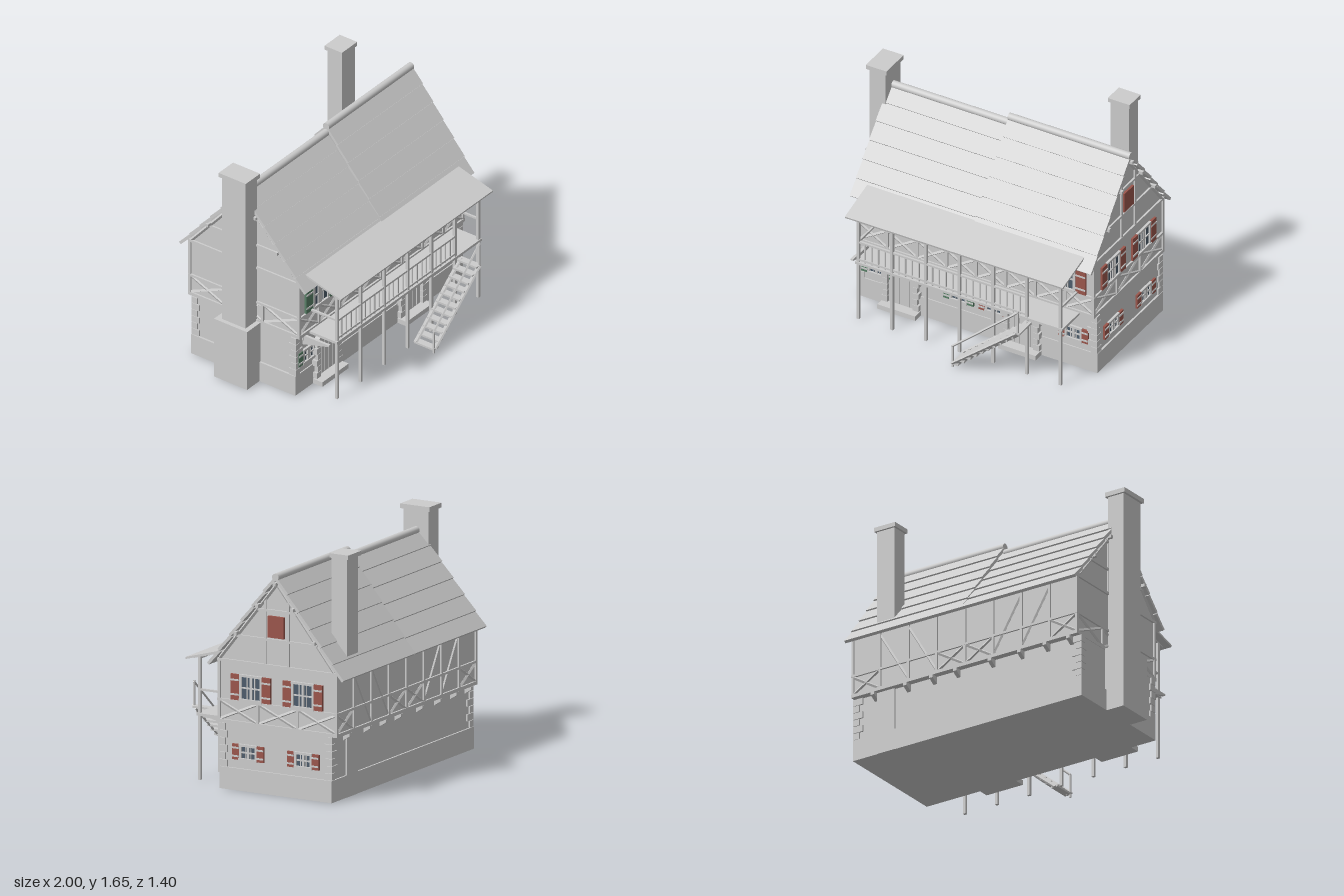
import * as THREE from 'three';

const mat = (name, color) => {
  const m = new THREE.MeshStandardMaterial({ color });
  m.name = name;
  return m;
};

export function createModel() {
  const stone = mat('pale grey', 0xcccccc);
  const red = mat('shutter red', 0x9b564c);
  const green = mat('shutter green', 0x587f66);
  const glass = mat('window glass', 0x4d5c6b);
  const house = new THREE.Group();
  house.name = 'timberFramedHouse';

  const group = (name, parent = house) => {
    const g = new THREE.Group();
    g.name = name;
    parent.add(g);
    return g;
  };
  const add = (parent, name, geo, m = stone) => {
    const mesh = new THREE.Mesh(geo, m);
    mesh.name = name;
    parent.add(mesh);
    return mesh;
  };
  // box given by its limits on each axis
  const box = (parent, name, x0, x1, y0, y1, z0, z1, m = stone) => {
    const b = add(parent, name, new THREE.BoxGeometry(x1 - x0, y1 - y0, z1 - z0), m);
    b.position.set((x0 + x1) / 2, (y0 + y1) / 2, (z0 + z1) / 2);
    return b;
  };
  // bar running between two points
  const bar = (parent, name, a, b, w, h, m = stone) => {
    const A = new THREE.Vector3(...a), B = new THREE.Vector3(...b);
    const mesh = add(parent, name, new THREE.BoxGeometry(w, h, A.distanceTo(B)), m);
    mesh.position.copy(A).add(B).multiplyScalar(0.5);
    mesh.quaternion.setFromUnitVectors(new THREE.Vector3(0, 0, 1), B.sub(A).normalize());
    return mesh;
  };
  // profile of [z, y] points extruded from x0 to x1
  const profile = (parent, name, pts, x0, x1) => {
    const shape = new THREE.Shape(pts.map(p => new THREE.Vector2(...p)));
    const geo = new THREE.ExtrudeGeometry(shape, { depth: x1 - x0, bevelEnabled: false });
    geo.rotateY(-Math.PI / 2).translate(x1, 0, 0);
    return add(parent, name, geo);
  };

  // masonry ground floor and overhanging upper floor
  box(house, 'plinth', -0.865, 0.973, 0, 0.15, -0.597, 0.268);
  box(house, 'groundFloor', -0.85, 0.96, 0.15, 0.45, -0.585, 0.26);
  const RZ = -0.165;
  const halves = [
    { x0: -0.84, x1: 0.05, r0: -0.872, r1: 0.045, top: 1.445 },
    { x0: 0.05, x1: 0.95, r0: 0.045, r1: 0.978, top: 1.49 }];
  for (const h of halves) {
    profile(house, 'upperFloorAndGable', [[0.28, 0.445], [0.28, 0.88], [RZ, h.top - 0.045],
      [-0.62, 0.88], [-0.62, 0.445]], h.x0, h.x1);
    // overlapping roof courses on both slopes
    const roof = group('roof');
    for (const ez of [0.355, -0.685]) {
      const at = (t, up) => [0, 0.83 + t * (h.top - 0.835) + up, ez + t * (RZ - ez)];
      for (let i = 0; i < 6; i++) {
        const c = bar(roof, 'roofCourse', at(i / 6 - (i ? 0.01 : 0), 0.008), at((i + 1) / 6, -0.006),
          h.r1 - h.r0, 0.02);
        c.position.x = (h.r0 + h.r1) / 2;
      }
    }
    const cap = add(roof, 'ridgeRoll', new THREE.CylinderGeometry(0.026, 0.026, h.r1 - h.r0, 20));
    cap.rotation.z = Math.PI / 2;
    cap.position.set((h.r0 + h.r1) / 2, h.top - 0.005, RZ);
  }

  // chimneys
  const sideChimney = group('sideChimney');
  box(sideChimney, 'chimneyBase', -1, -0.84, 0, 0.455, -0.305, -0.03);
  box(sideChimney, 'chimneyShaft', -0.97, -0.845, 0.455, 1.58, -0.26, -0.065);
  box(sideChimney, 'chimneyCap', -0.988, -0.83, 1.578, 1.61, -0.275, -0.05);
  const backChimney = group('backChimney');
  box(backChimney, 'chimneyShaft', 0.638, 0.778, 0, 1.625, -0.6, -0.48);
  box(backChimney, 'chimneyCap', 0.622, 0.79, 1.62, 1.65, -0.615, -0.47);

  // window with frame, bars and two shutters, on a wall facing local +z
  const windowAt = (wall, u, y0, y1, hw, sIn, sOut, paint) => {
    const w = group('window', wall);
    w.position.set(u, 0, 0);
    box(w, 'pane', -hw, hw, y0, y1, 0, 0.004, glass);
    for (const s of [-1, 1]) {
      box(w, 'jamb', s * hw - 0.008, s * hw + 0.008, y0, y1, 0, 0.015);
      box(w, 'innerBar', s * hw * 0.36 - 0.003, s * hw * 0.36 + 0.003, y0, y1, 0, 0.01);
      const c = s * (sIn + sOut) / 2, half = (sOut - sIn) / 2, h = y1 - y0;
      box(w, 'shutter', c - half, c + half, y0 - 0.005, y1 + 0.005, 0, 0.016, paint);
      for (const f of [0.2, 0.8])
        box(w, 'shutterBatten', c - half, c + half, y0 + h * f - 0.006, y0 + h * f + 0.006, 0.014, 0.02);
    }
    const mid = (y0 + y1) / 2;
    box(w, 'mullion', -0.009, 0.009, y0, y1, 0, 0.012);
    box(w, 'transom', -hw, hw, mid - 0.005, mid + 0.005, 0, 0.012);
    box(w, 'head', -hw - 0.01, hw + 0.01, y1 - 0.008, y1 + 0.008, 0, 0.017);
    box(w, 'sill', -hw - 0.01, hw + 0.01, y0 - 0.01, y0 + 0.008, 0, 0.02);
  };

  // timber framing of the upper floor
  const frameWall = (name, x, z, turn, u0, u1, panels, crossed, tall) => {
    const wall = group(name);
    wall.position.set(x, 0, z);
    wall.rotation.y = turn;
    for (const [y, h] of [[0.457, 0.024], [0.602, 0.016], [0.873, 0.018]])
      box(wall, 'rail', u0, u1, y - h / 2, y + h / 2, -0.005, 0.013);
    const step = (u1 - u0) / panels;
    for (let i = 0; i <= panels; i++) {
      const u = Math.min(Math.max(u0 + i * step, u0 + 0.01), u1 - 0.01);
      const full = tall || i === 0 || i === panels;
      box(wall, 'post', u - 0.009, u + 0.009, 0.45, full ? 0.87 : 0.6, -0.005, 0.012);
      if (i === panels || !crossed(i)) continue;
      for (const [a, b] of [[0.468, 0.595], [0.595, 0.468]])
        bar(wall, 'crossBrace', [u0 + i * step + 0.01, a, 0.002], [u0 + (i + 1) * step - 0.01, b, 0.002], 0.013, 0.016);
    }
    return wall;
  };
  const H = Math.PI / 2;
  const front = frameWall('frontFraming', 0, 0.28, 0, -0.853, 0.963, 8, () => true, true);
  const back = frameWall('backFraming', 0, -0.62, Math.PI, -0.963, 0.853, 8, i => [0, 3, 4, 7].includes(i), true);
  const right = frameWall('rightFraming', 0.95, 0, H, -0.29, 0.63, 3, () => true, false);
  const left = frameWall('leftFraming', -0.84, 0, -H, -0.63, 0.29, 3, () => true, false);
  for (const i of [1, 2, 5, 6])
    bar(back, 'longBrace', [-0.963 + i * 0.227, i < 4 ? 0.85 : 0.47, 0], [-0.963 + (i + 1) * 0.227, i < 4 ? 0.47 : 0.85, 0], 0.014, 0.014);

  // gable timbers, mirrored about the ridge
  for (const [wall, ridge, top] of [[right, 0.165, 1.49], [left, -0.165, 1.445]]) {
    const half = y => 0.455 * (top - 0.045 - y) / (top - 0.925);
    for (const y of [1.05, 1.25])
      box(wall, 'collarBeam', ridge - half(y), ridge + half(y), y - 0.008, y + 0.008, -0.005, 0.013);
    for (const s of [-1, 1]) {
      bar(wall, 'gableRafter', [ridge + s * 0.44, 0.885, 0.004], [ridge, top - 0.055, 0.004], 0.018, 0.018);
      box(wall, 'gablePost', ridge + s * 0.088 - 0.009, ridge + s * 0.088 + 0.009, 0.88, top - 0.16, -0.005, 0.012);
      for (const y of [1.072, 1.278])
        box(wall, 'purlinEnd', ridge + s * half(y) - 0.011, ridge + s * half(y) + 0.011, y - 0.011, y + 0.011, 0, 0.045);
    }
    box(wall, 'ridgePurlin', ridge - 0.011, ridge + 0.011, top - 0.062, top - 0.04, 0, 0.045);
  }
  box(right, 'gableHatch', 0.1, 0.223, 1.068, 1.215, 0, 0.017, red);

  // windows
  [[-0.61, green], [-0.17, green], [0.295, red], [0.73, red]].forEach(([x, m]) =>
    windowAt(front, x, 0.615, 0.785, 0.078, 0.092, 0.167, m));
  for (const u of [-0.035, 0.365]) windowAt(right, u, 0.617, 0.782, 0.078, 0.088, 0.153, red);
  const lowFront = group('groundFront');
  lowFront.position.z = 0.26;
  [[-0.72, green], [-0.09, green], [0.18, red], [0.79, red]].forEach(([x, m]) =>
    windowAt(lowFront, x, 0.215, 0.31, 0.058, 0.065, 0.115, m));
  const lowRight = group('groundRight');
  lowRight.position.x = 0.96;
  lowRight.rotation.y = H;
  for (const u of [-0.05, 0.375]) windowAt(lowRight, u, 0.215, 0.31, 0.06, 0.068, 0.122, red);

  // corner stones
  for (const [cx, sx] of [[0.96, 1], [-0.85, -1]]) for (const [cz, sz] of [[0.26, 1], [-0.585, -1]])
    for (let i = 0; i < 6; i++) {
      const a = i % 2 ? 0.075 : 0.045, b = i % 2 ? 0.045 : 0.06;
      const q = add(house, 'cornerStone', new THREE.BoxGeometry(a, 0.046, b));
      q.position.set(cx + sx * (0.011 - a / 2), 0.175 + i * 0.0495, cz + sz * (0.011 - b / 2));
    }

  // arched doors with stone surround
  for (const x of [-0.525, 0.4]) {
    const door = group('door', lowFront);
    door.position.x = x;
    const s = new THREE.Shape();
    s.moveTo(-0.1, 0.03).lineTo(0.1, 0.03).lineTo(0.1, 0.275).absarc(0, 0.275, 0.1, 0, Math.PI, false);
    add(door, 'doorLeaf', new THREE.ExtrudeGeometry(s, { depth: 0.012, bevelEnabled: false, curveSegments: 10 }));
    for (const u of [-0.06, -0.02, 0.02, 0.06])
      box(door, 'plankStrip', u - 0.003, u + 0.003, 0.04, 0.345, 0.01, 0.017);
    for (const sd of [-1, 1]) for (let i = 0; i < 5; i++) {
      const w = i % 2 ? 0.034 : 0.046;
      const j = add(door, 'jambStone', new THREE.BoxGeometry(w, 0.044, 0.04));
      j.position.set(sd * (0.097 + w / 2), 0.064 + i * 0.047, 0.018);
    }
    for (let i = 0; i < 9; i++) {
      const a = Math.PI * (i + 0.5) / 9;
      const v = add(door, 'archStone', new THREE.BoxGeometry(i % 2 ? 0.032 : 0.042, 0.04, 0.04));
      v.position.set(Math.cos(a) * 0.113, 0.28 + Math.sin(a) * 0.103, 0.018);
      v.rotation.z = a;
    }
    box(door, 'doorStep', -0.145, 0.145, 0, 0.035, 0, 0.085);
  }

  // joist ends below the overhang, and brackets below the balcony
  for (const x of [-0.78, -0.59, -0.385, -0.15, 0.13, 0.32, 0.53, 0.79]) {
    box(house, 'joistEnd', x - 0.015, x + 0.015, 0.405, 0.445, 0.25, 0.285);
    profile(house, 'rearJoistEnd', [[-0.58, 0.39], [-0.58, 0.445], [-0.635, 0.445], [-0.635, 0.425]], x - 0.014, x + 0.014);
    profile(house, 'balconyBracket', [[0.27, 0.37], [0.49, 0.432], [0.49, 0.442], [0.27, 0.442]], x - 0.01, x + 0.01);
  }

  // balcony with posts, railing and lean-to roof
  const balcony = group('balcony');
  box(balcony, 'balconyFloor', -0.74, 0.85, 0.438, 0.456, 0.28, 0.52);
  for (let i = 0; i < 7; i++) {
    const x = -0.72 + i * 0.2583;
    box(balcony, 'balconyPost', x - 0.01, x + 0.01, 0, 0.85, 0.495, 0.515);
    bar(balcony, 'roofRafter', [x, 0.83, 0.55], [x, 0.9, 0.3], 0.014, 0.014);
  }
  box(balcony, 'postPlate', -0.73, 0.84, 0.825, 0.843, 0.495, 0.515);
  for (const y of [0.475, 0.612])
    box(balcony, 'balconyRail', -0.72, 0.57, y - 0.007, y + 0.007, 0.497, 0.513);
  for (let x = -0.67; x < 0.56; x += 0.0517)
    box(balcony, 'baluster', x - 0.004, x + 0.004, 0.456, 0.61, 0.501, 0.509);
  for (const x of [-0.72, 0.83]) box(balcony, 'sideRail', x - 0.007, x + 0.007, 0.608, 0.622, 0.285, 0.505);
  bar(balcony, 'balconyRoof', [0.055, 0.83, 0.58], [0.055, 0.92, 0.26], 1.67, 0.014);

  // outside stair
  const stair = group('stair');
  for (const z of [0.53, 0.683]) bar(stair, 'stringer', [0.11, 0.025, z], [0.605, 0.43, z], 0.05, 0.012);
  for (let i = 0; i < 11; i++) {
    const x = 0.125 + i * 0.047, y = 0.025 + i * 0.0405;
    box(stair, 'tread', x - 0.025, x + 0.025, y - 0.006, y + 0.008, 0.525, 0.688);
  }
  bar(stair, 'handrail', [0.1, 0.16, 0.683], [0.61, 0.605, 0.683], 0.012, 0.012);
  for (const [x, y] of [[0.105, 0], [0.605, 0.44]])
    box(stair, 'newelPost', x - 0.006, x + 0.006, y, y + 0.17, 0.677, 0.689);
  return house;
}
